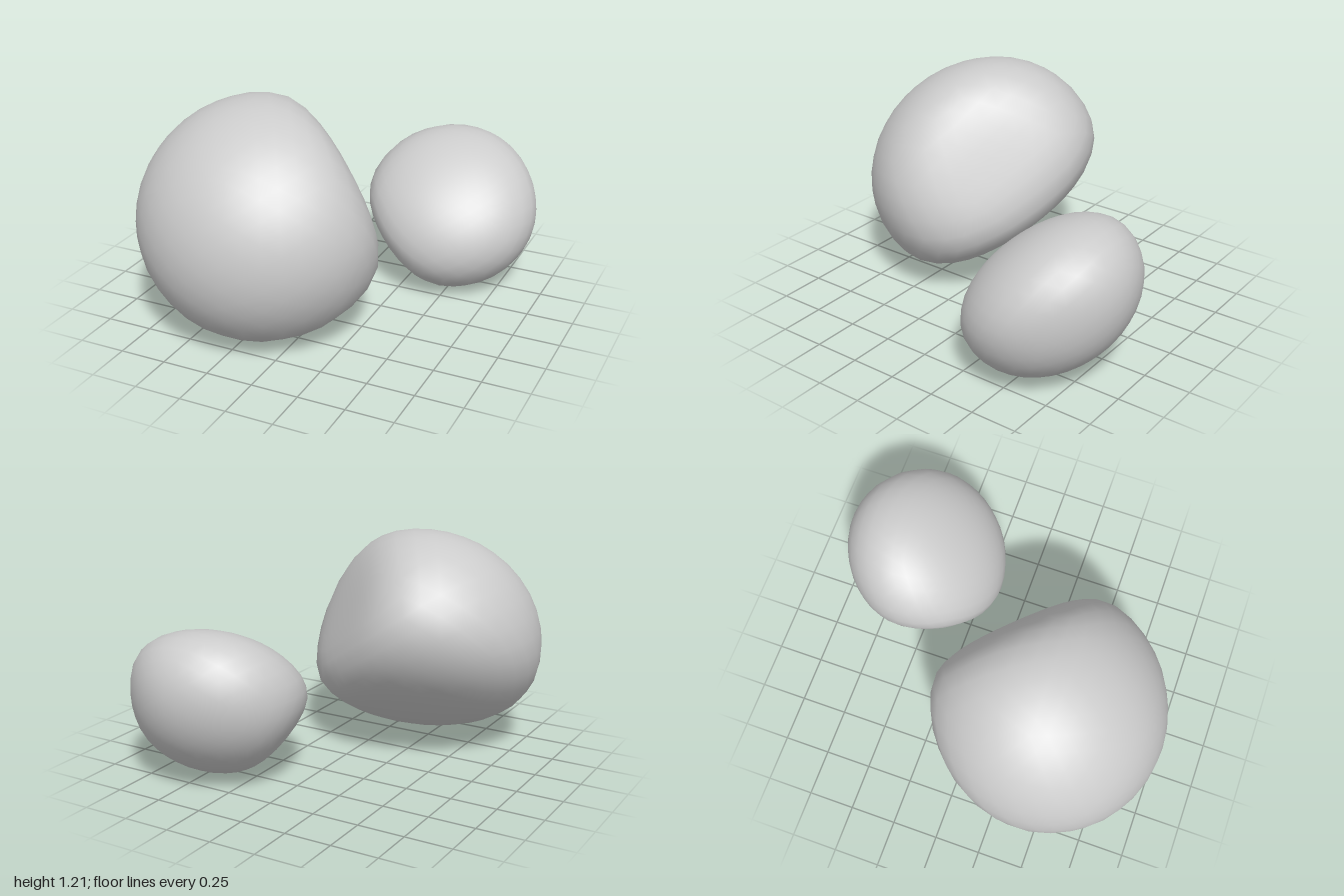
import * as THREE from 'three';
import { mergeVertices } from 'three/addons/utils/BufferGeometryUtils.js';

// Lens-like blob: round about an axis that points to its flatter side.
// power shapes the flat side (2 = elliptic, higher = boxier);
// each cut softly flattens one side by a plane.
function makeBlob(name, { center, axis, radius, flat, round, power, cuts }, material) {
  let geometry = new THREE.IcosahedronGeometry(1, 6);
  geometry.deleteAttribute('uv');
  geometry.deleteAttribute('normal');
  geometry = mergeVertices(geometry, 1e-4);

  const dir = new THREE.Vector3(...axis).normalize();
  const planes = cuts.map(([n, distance]) => [new THREE.Vector3(...n).normalize(), distance]);
  const softness = 8;
  const pos = geometry.attributes.position;
  const v = new THREE.Vector3();
  for (let i = 0; i < pos.count; i++) {
    v.fromBufferAttribute(pos, i).normalize();
    const h = v.dot(dir);
    const across = Math.sqrt(Math.max(0, 1 - h * h));
    const p = h > 0 ? power : 2;
    const depth = h > 0 ? flat : round;
    v.multiplyScalar(((across / radius) ** p + (Math.abs(h) / depth) ** p) ** (-1 / p));
    let sum = 1;
    for (const [n, distance] of planes) sum += Math.max(0, v.dot(n) / distance) ** softness;
    v.multiplyScalar(sum ** (-1 / softness));
    pos.setXYZ(i, v.x, v.y, v.z);
  }
  geometry.computeVertexNormals();

  const mesh = new THREE.Mesh(geometry, material);
  mesh.name = name;
  mesh.position.set(...center);
  return mesh;
}

export function createModel() {
  const group = new THREE.Group();
  group.name = 'blobs';
  const material = new THREE.MeshStandardMaterial({ color: 0xcccccc });

  // Large front blob, flattened underneath and towards the small one
  group.add(makeBlob('largeBlob', {
    center: [-0.25, 0.597, 0.375],
    axis: [-0.17, -0.79, -0.6],
    radius: 0.66, flat: 0.415, round: 0.59, power: 2.5,
    cuts: [[[0.66, 0.36, -0.66], 0.475]],
  }, material));

  // Small back blob, flattened on its upper front and slightly on two sides
  group.add(makeBlob('smallBlob', {
    center: [0.44, 0.425, -0.555],
    axis: [0.12, 0.77, 0.6],
    radius: 0.485, flat: 0.305, round: 0.39, power: 2.1,
    cuts: [[[-0.72, -0.61, 0.31], 0.43], [[0.7, 0, -0.7], 0.5]],
  }, material));

  return group;
}
